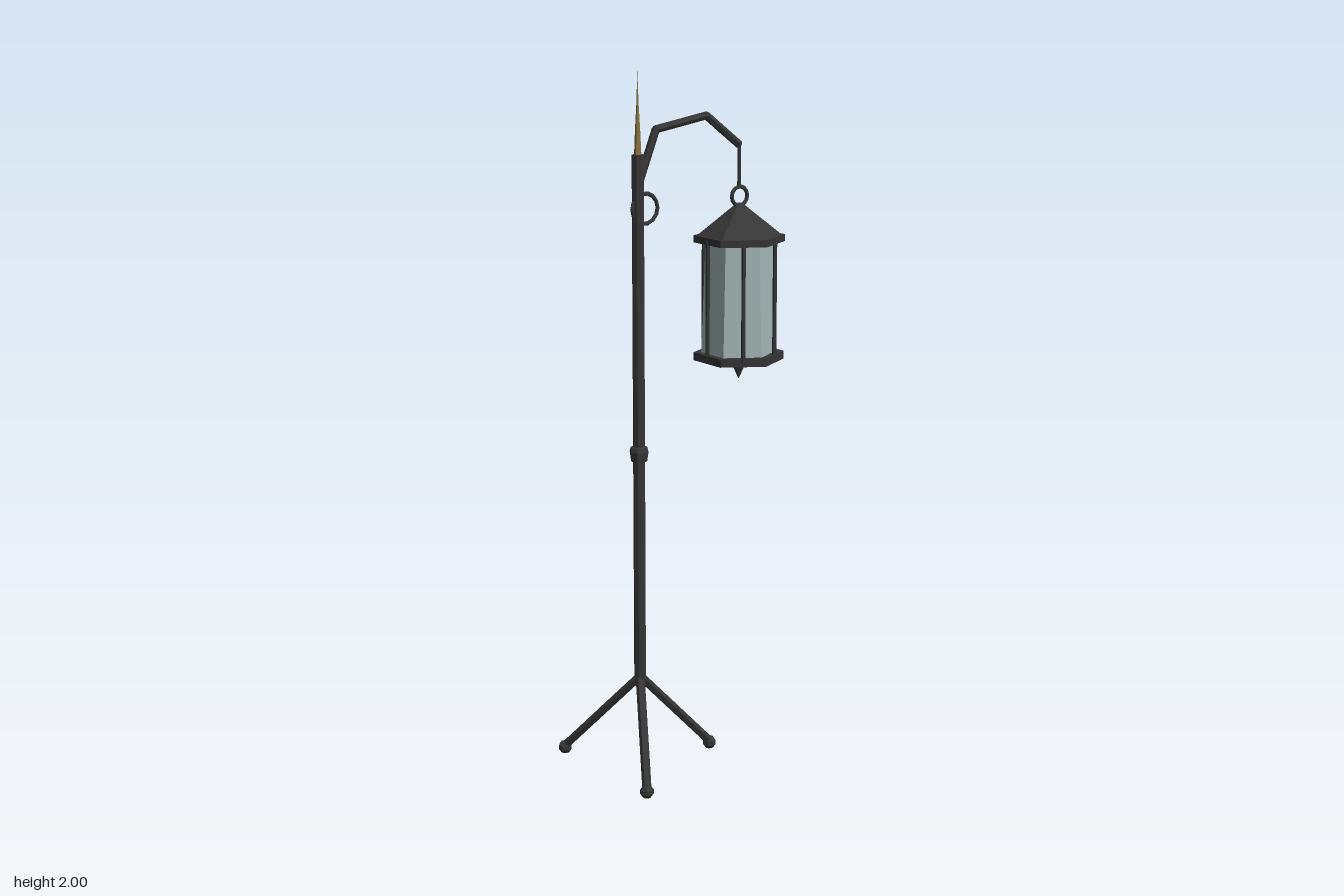
import * as THREE from 'three';

const mat = (color) => new THREE.MeshStandardMaterial({ color, flatShading: true });
const iron = mat(0x363636);
const glass = mat(0xa3b5b5);
const brass = mat(0x8a7344);
const POLE_X = -0.16, LAMP_X = 0.186;

export function createModel() {
  const model = new THREE.Group();
  model.name = 'hangingLantern';

  const add = (name, geometry, x, y, z, material = iron, parent = model) => {
    const mesh = new THREE.Mesh(geometry, material);
    mesh.name = name;
    mesh.position.set(x, y, z);
    parent.add(mesh);
    return mesh;
  };
  // Straight bar between two points
  const bar = (name, a, b, r, sides = 6, parent = model) => {
    const p = new THREE.Vector3(...a), q = new THREE.Vector3(...b);
    const d = q.clone().sub(p);
    const mid = p.add(q).multiplyScalar(0.5);
    const mesh = add(name, new THREE.CylinderGeometry(r, r, d.length(), sides), mid.x, mid.y, mid.z, iron, parent);
    mesh.quaternion.setFromUnitVectors(new THREE.Vector3(0, 1, 0), d.normalize());
    return mesh;
  };

  // Pole with collar, spike and side ring
  add('pole', new THREE.CylinderGeometry(0.017, 0.017, 1.51, 8), POLE_X, 1.015, 0);
  const collar = [[0.015, -0.022], [0.023, -0.02], [0.027, 0.008], [0.024, 0.02], [0.015, 0.022]]
    .map(([r, y]) => new THREE.Vector2(r, y));
  add('collar', new THREE.LatheGeometry(collar, 8), POLE_X, 0.93, 0);
  const spike = [[0.01, 0], [0.007, 0.07], [0.003, 0.14], [0, 0.23]].map(([r, y]) => new THREE.Vector2(r, y));
  add('spike', new THREE.LatheGeometry(spike, 6), POLE_X, 1.77, 0, brass);
  add('sideRing', new THREE.TorusGeometry(0.042, 0.006, 6, 14), -0.137, 1.62, 0);

  // Three splayed legs with ball feet
  for (let i = 0; i < 3; i++) {
    const a = (i * Math.PI * 2) / 3;
    const x = POLE_X + 0.245 * Math.cos(a), z = 0.245 * Math.sin(a);
    bar('leg', [POLE_X, 0.275, 0], [x, 0.025, z], 0.013);
    const foot = add('foot', new THREE.SphereGeometry(0.02, 8, 5), x, 0.02, z);
    foot.rotation.y = -a;
  }

  // Bent arm, each joint filled by a small ball
  const path = [[-0.157, 1.69], [-0.1, 1.835], [0.07, 1.863], [0.184, 1.775]];
  for (let i = 0; i < 3; i++) {
    bar('arm', [...path[i], 0], [...path[i + 1], 0], 0.0115);
    if (i) add('armJoint', new THREE.SphereGeometry(0.0115, 6, 4), ...path[i], 0);
  }
  bar('hangerRod', [0.184, 1.78, 0], [0.184, 1.652, 0], 0.005);

  // Lantern, hexagonal with corners at the front and back
  const lamp = new THREE.Group();
  lamp.name = 'lantern';
  lamp.position.x = LAMP_X;
  model.add(lamp);
  const hex = (name, top, bottom, y0, y1, material = iron) =>
    add(name, new THREE.CylinderGeometry(top, bottom, y1 - y0, 6), 0, (y0 + y1) / 2, 0, material, lamp);
  add('hangerRing', new THREE.TorusGeometry(0.027, 0.006, 6, 14), 0, 1.63, 0, iron, lamp);
  hex('roof', 0.008, 0.12, 1.52, 1.61);
  hex('roofRim', 0.13, 0.13, 1.5, 1.52);
  hex('glassPanes', 0.096, 0.108, 1.18, 1.505, glass);
  hex('baseRim', 0.13, 0.13, 1.16, 1.183);
  hex('finial', 0.026, 0.001, 1.105, 1.162);

  // Uprights in front of the middle of each pane
  for (let i = 0; i < 6; i++) {
    const a = (i * Math.PI) / 3;
    const x = 0.11 * Math.cos(a), z = 0.11 * Math.sin(a);
    bar('upright', [x, 1.17, z], [x, 1.51, z], 0.006, 6, lamp);
  }
  return model;
}
